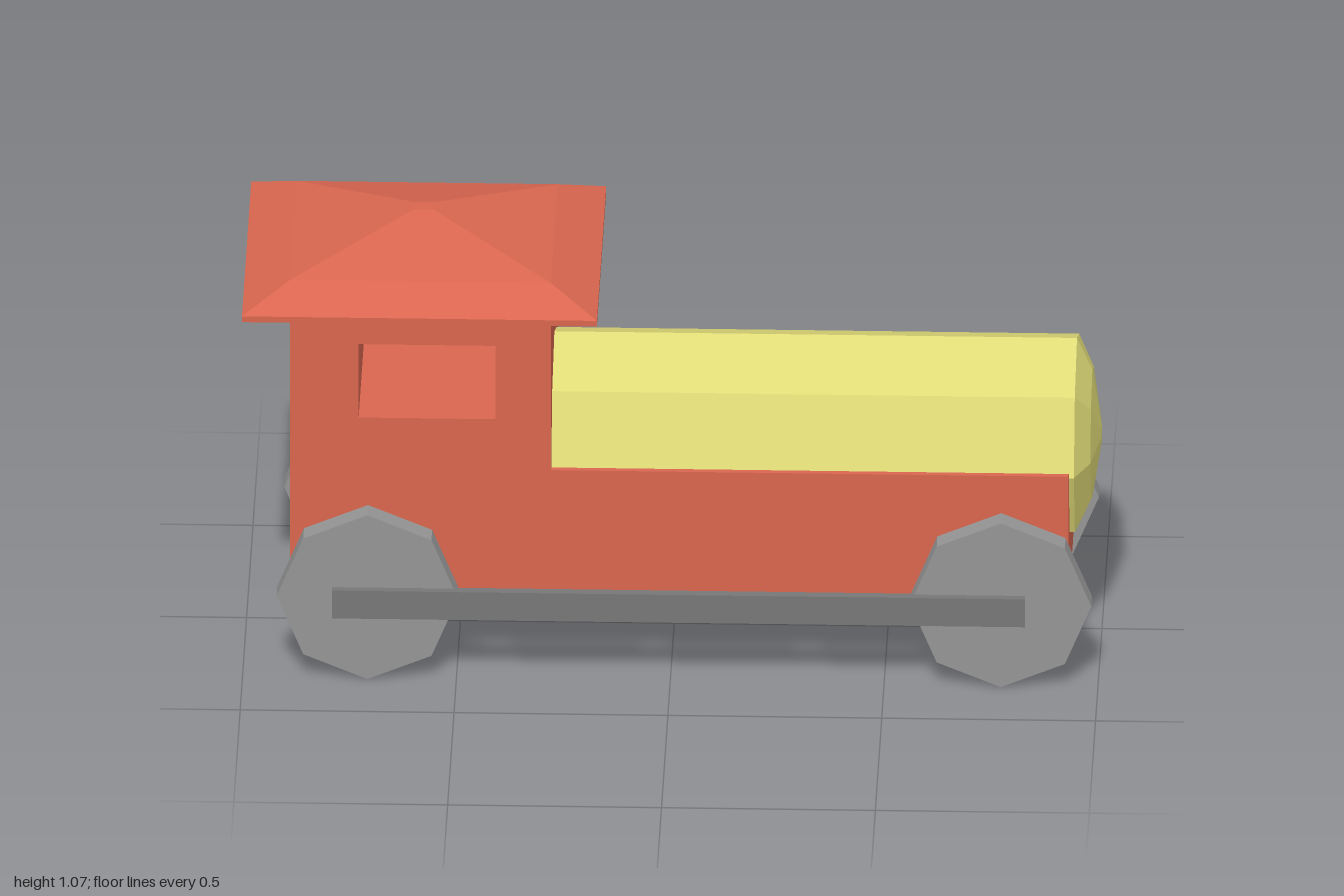
import * as THREE from 'three';

const material = (color) => new THREE.MeshStandardMaterial({ color, flatShading: true });
const red = material(0xd9664f);
const yellow = material(0xe0db77);
const wheelGrey = material(0x959595);
const rodGrey = material(0x777777);

function add(parent, name, geometry, mat, x = 0, y = 0, z = 0) {
  const mesh = new THREE.Mesh(geometry, mat);
  mesh.name = name;
  mesh.position.set(x, y, z);
  parent.add(mesh);
  return mesh;
}

const points = (list) => list.map(([x, y]) => new THREE.Vector2(x, y));

export function createModel() {
  const group = new THREE.Group();
  group.name = 'toyLocomotive';

  // Cab and chassis: one side profile with a window cut right through
  const profile = new THREE.Shape(points([
    [-0.89, 0.19], [0.93, 0.19], [0.93, 0.52], [-0.28, 0.52], [-0.28, 0.945], [-0.89, 0.945],
  ]));
  profile.holes.push(new THREE.Path(points([
    [-0.73, 0.65], [-0.73, 0.84], [-0.41, 0.84], [-0.41, 0.65],
  ])));
  const bodyGeometry = new THREE.ExtrudeGeometry(profile, { depth: 0.534, bevelEnabled: false });
  add(group, 'cabAndChassis', bodyGeometry, red, 0, 0, -0.267);

  // Roof: stepped four-sided pyramid, profile given as [half width, height]
  const roofProfile = [
    [0, 0.94], [0.365, 0.94], [0.365, 0.955], [0.268, 1.005], [0.02, 1.073], [0, 1.073],
  ].map(([w, y]) => [w * Math.SQRT2, y]);
  const roofGeometry = new THREE.LatheGeometry(points(roofProfile), 4, Math.PI / 4);
  roofGeometry.scale(1.137, 1, 1);
  add(group, 'roof', roofGeometry, red, -0.585);

  // Boiler: eight-sided barrel with a shallow domed nose
  const boilerGeometry = new THREE.LatheGeometry(points([
    [0, -0.28], [0.246, -0.28], [0.246, 0.942], [0.165, 0.978], [0.02, 1], [0, 1],
  ]), 8);
  boilerGeometry.rotateZ(-Math.PI / 2);
  add(group, 'boiler', boilerGeometry, yellow, 0, 0.511, 0.01);

  // Wheels and coupling rods on both sides
  const wheelGeometry = new THREE.CylinderGeometry(0.212, 0.212, 0.056, 8);
  wheelGeometry.rotateX(Math.PI / 2);
  const rodGeometry = new THREE.BoxGeometry(1.62, 0.072, 0.024);
  for (const [side, s] of [['Front', 1], ['Back', -1]]) {
    add(group, 'rearWheel' + side, wheelGeometry, wheelGrey, -0.708, 0.212, s * 0.296);
    add(group, 'leadWheel' + side, wheelGeometry, wheelGrey, 0.773, 0.212, s * 0.296);
    add(group, 'couplingRod' + side, rodGeometry, rodGrey, 0.02, 0.201, s * 0.331);
  }
  return group;
}
